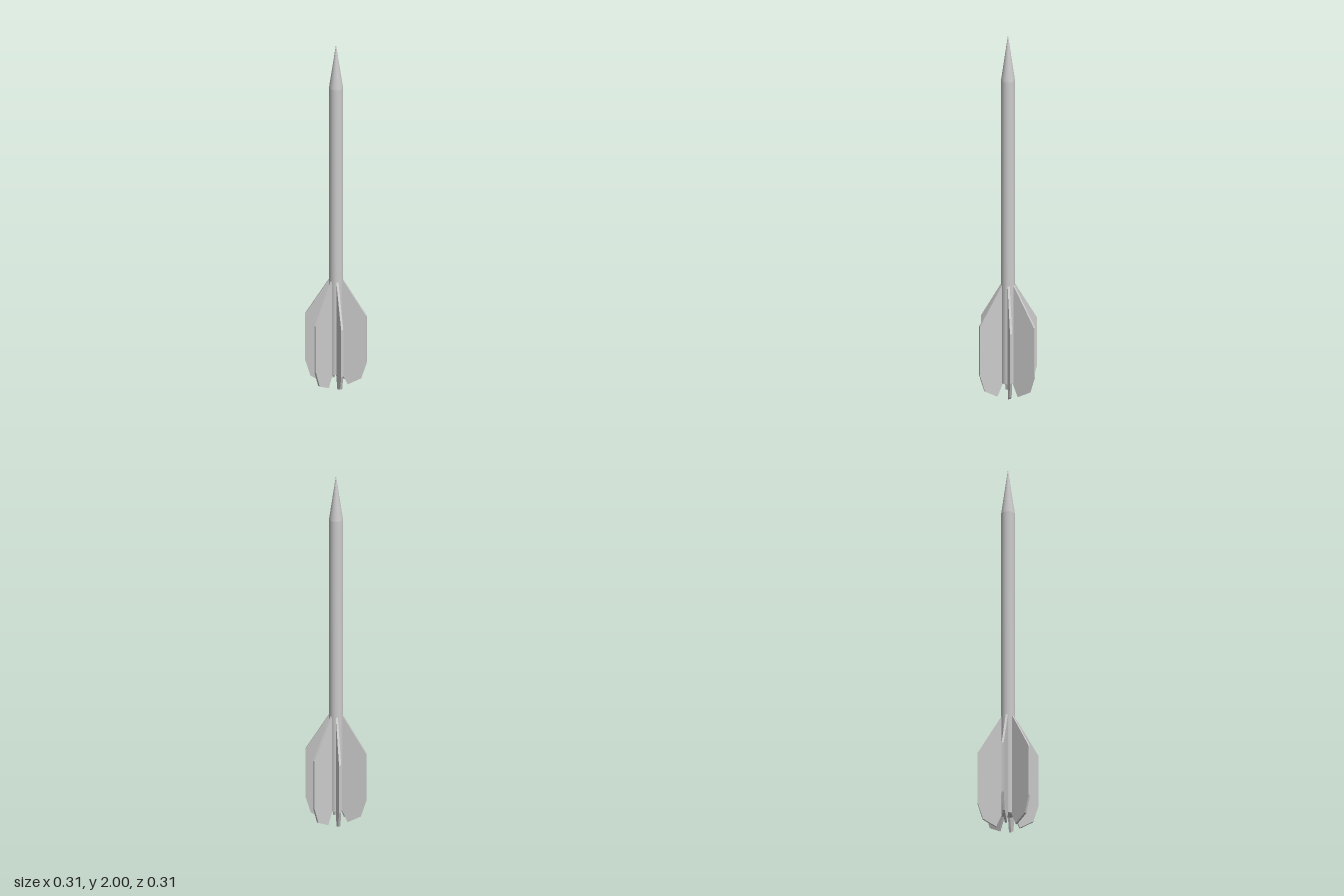
import * as THREE from 'three';

export function createModel() {
  const model = new THREE.Group();
  model.name = 'rocket';
  const material = new THREE.MeshStandardMaterial({ color: 0xcccccc });
  const add = (geometry, name) => {
    const mesh = new THREE.Mesh(geometry, material);
    mesh.name = name;
    model.add(mesh);
    return mesh;
  };

  const radius = 0.035, base = 0.07, shoulder = 1.75, tip = 2;

  // Slim tube, closed underneath
  const body = new THREE.CylinderGeometry(radius, radius, shoulder - base, 32);
  add(body, 'body').position.y = (shoulder + base) / 2;

  // Pointed nose
  const nose = new THREE.ConeGeometry(radius, tip - shoulder, 32, 1, true);
  add(nose, 'noseCone').position.y = (shoulder + tip) / 2;

  // Flat fin outline: distance from the axis, height
  const outline = [
    [0.03, 0.07], [0.06, 0], [0.129, 0.04], [0.156, 0.13],
    [0.156, 0.405], [0.034, 0.617], [0.03, 0.617],
  ];
  const thickness = 0.011;
  const finShape = new THREE.Shape(outline.map(([r, y]) => new THREE.Vector2(r, y)));
  const finGeometry = new THREE.ExtrudeGeometry(finShape, { depth: thickness, bevelEnabled: false });
  finGeometry.translate(0, 0, -thickness / 2);

  // Three opposed pairs, unevenly spaced around the tube (degrees from +x towards +z)
  for (const angle of [8.7, 81.3, 135, 188.7, 261.3, 315]) {
    add(finGeometry, 'fin').rotation.y = -THREE.MathUtils.degToRad(angle);
  }

  return model;
}
